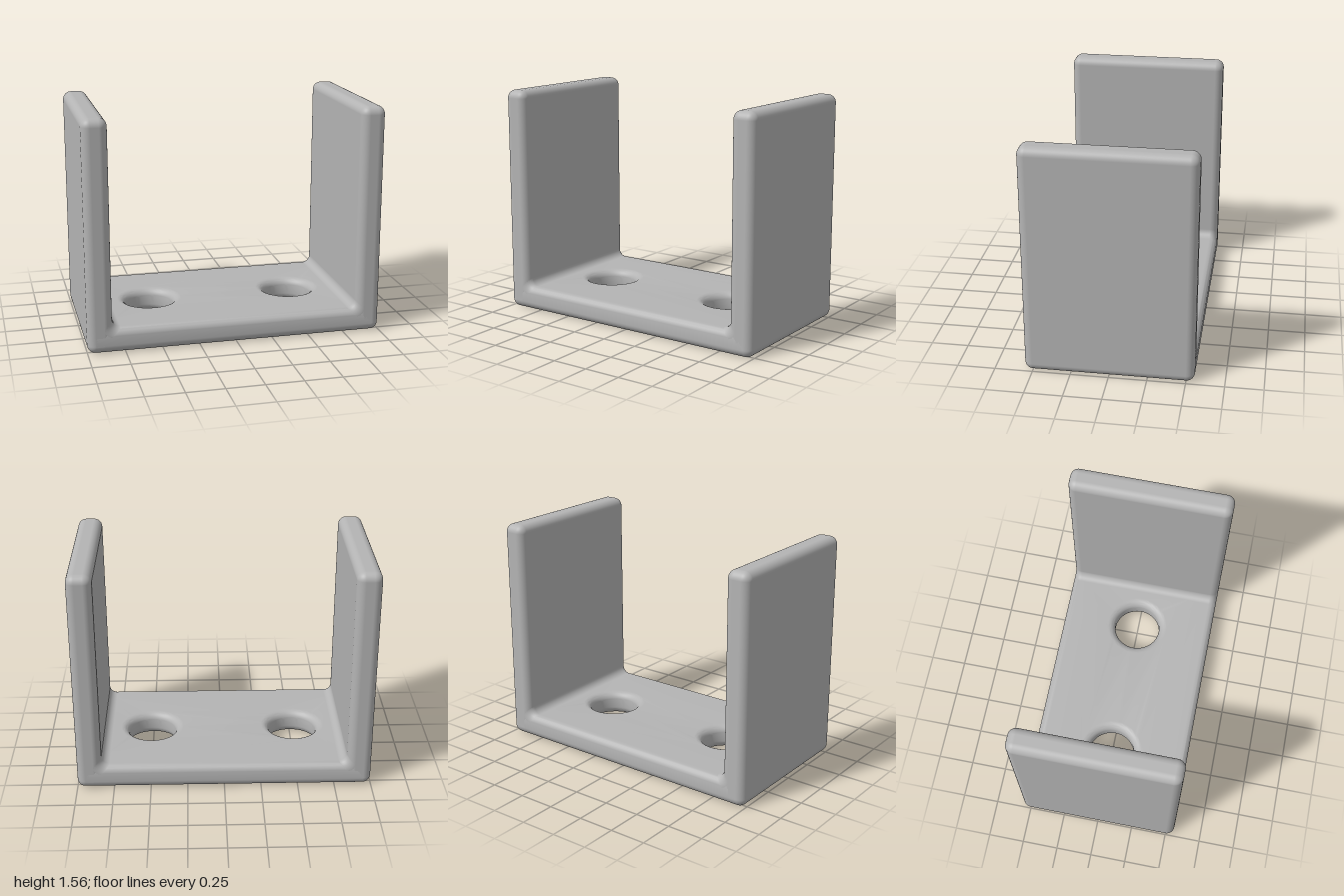
import * as THREE from 'three';
import { toCreasedNormals } from 'three/addons/utils/BufferGeometryUtils.js';
import { RoundedBoxGeometry } from 'three/addons/geometries/RoundedBoxGeometry.js';
import { ParametricGeometry } from 'three/addons/geometries/ParametricGeometry.js';

// All sizes are whole multiples of one unit
const U = 1 / 18;
const WIDTH = 36 * U, HEIGHT = 28 * U, DEPTH = 20 * U;
const THICK = 3 * U, ROUND = U, HOLE = 3 * U, HOLE_X = 9 * U;

// Base plate with two rounded holes; its ends are buried in the walls
function baseGeometry() {
  const hx = WIDTH / 2 - ROUND, hz = DEPTH / 2;
  const shape = new THREE.Shape([
    new THREE.Vector2(-hx, -hz), new THREE.Vector2(hx, -hz),
    new THREE.Vector2(hx, hz), new THREE.Vector2(-hx, hz),
  ]);
  for (const side of [-1, 1]) {
    shape.holes.push(new THREE.Path().absarc(side * HOLE_X, 0, HOLE, 0, Math.PI * 2, true));
  }
  const geometry = new THREE.ExtrudeGeometry(shape, {
    depth: THICK - 2 * ROUND, curveSegments: 32,
    bevelThickness: ROUND, bevelSize: ROUND, bevelOffset: -ROUND, bevelSegments: 10,
  });
  geometry.rotateX(-Math.PI / 2).translate(0, ROUND, 0);
  return toCreasedNormals(geometry, 0.6);
}

// Concave strip between base and wall, sinking with the rounded edges at its ends
function filletGeometry(side) {
  const flat = DEPTH / 2 - ROUND;
  return new ParametricGeometry((u, v, target) => {
    const z = -Math.cos(u * Math.PI) * DEPTH / 2;
    const over = Math.max(0, Math.abs(z) - flat);
    const sink = ROUND - Math.sqrt(Math.max(0, ROUND * ROUND - over * over));
    const a = v * Math.PI / 2;
    const x = WIDTH / 2 - THICK - ROUND + sink + ROUND * Math.sin(a);
    const y = THICK + ROUND - sink - ROUND * Math.cos(a);
    target.set(side * x, y, z);
  }, 48, 10);
}

export function createModel() {
  const grey = new THREE.MeshStandardMaterial({ color: 0xb4b4b4 });
  grey.name = 'plain grey';
  const greyOpen = grey.clone();
  greyOpen.side = THREE.DoubleSide;

  const bracket = new THREE.Group();
  bracket.name = 'bracket';
  const add = (name, geometry, material = grey) => {
    const mesh = new THREE.Mesh(geometry, material);
    mesh.name = name;
    bracket.add(mesh);
    return mesh;
  };

  add('basePlate', baseGeometry());

  // Upright walls and their inner fillets
  for (const [label, side] of [['left', 1], ['right', -1]]) {
    const wall = add(label + 'Wall', new RoundedBoxGeometry(THICK, HEIGHT, DEPTH, 8, ROUND));
    wall.position.set(side * (WIDTH - THICK) / 2, HEIGHT / 2, 0);
    add(label + 'Fillet', filletGeometry(side), greyOpen);
  }
  return bracket;
}
